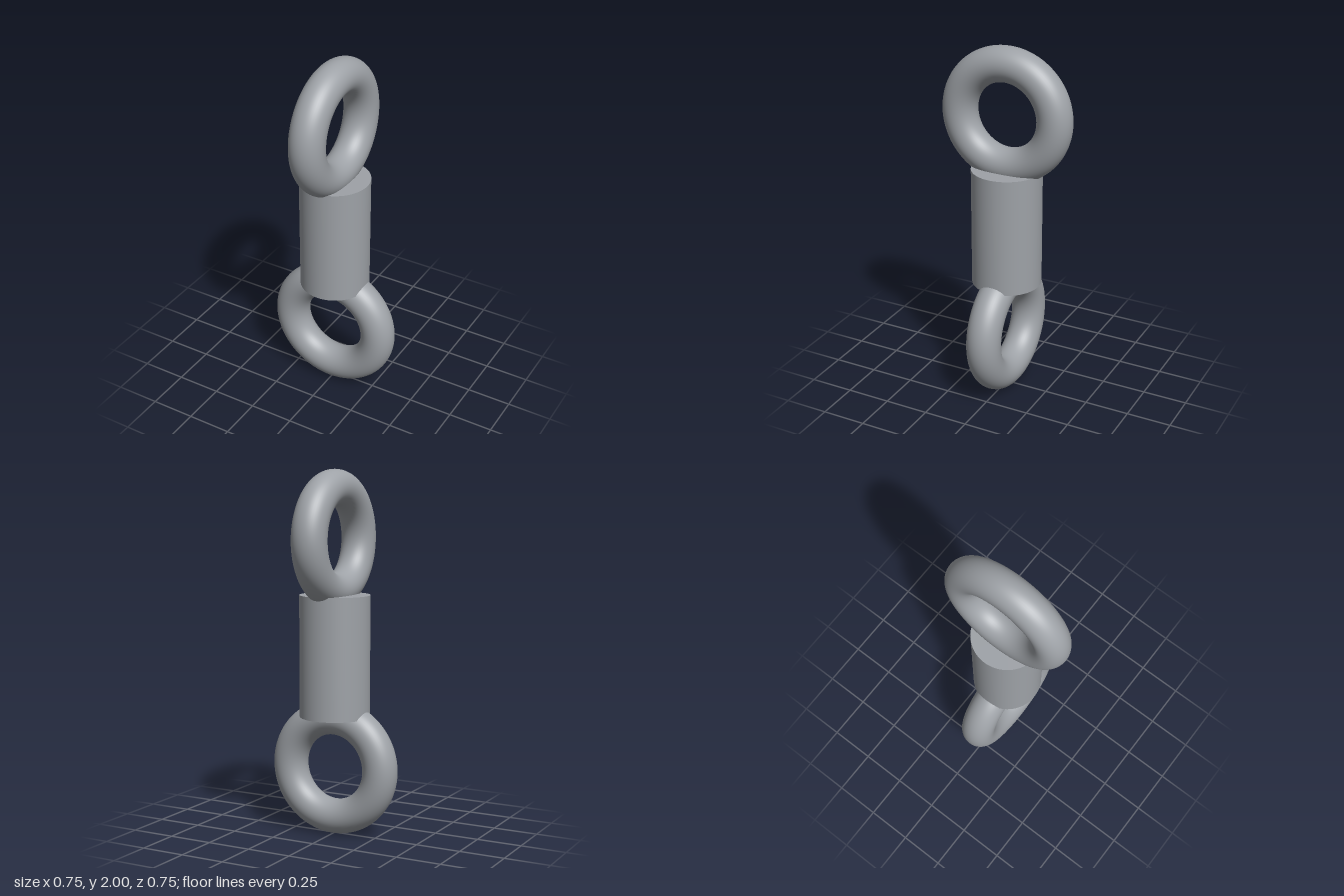
import * as THREE from 'three';

const RING_RADIUS = 0.278, TUBE_RADIUS = 0.096;
const RING_OUTER = RING_RADIUS + TUBE_RADIUS;

export function createModel() {
  const group = new THREE.Group();
  const steel = new THREE.MeshStandardMaterial({ color: 0x9ea2a7 });
  steel.name = 'steel grey';

  const add = (name, geometry, y) => {
    const mesh = new THREE.Mesh(geometry, steel);
    mesh.name = name;
    mesh.position.y = y;
    group.add(mesh);
    return mesh;
  };

  // Solid barrel joining the two eyes
  const bottom = 0.657, top = 1.325;
  add('barrel', new THREE.CylinderGeometry(0.193, 0.193, top - bottom, 96), (top + bottom) / 2);

  // Two eye rings, set at right angles to each other
  const ring = new THREE.TorusGeometry(RING_RADIUS, TUBE_RADIUS, 48, 128);
  add('lowerRing', ring, RING_OUTER);
  add('upperRing', ring, 2 - RING_OUTER).rotation.y = Math.PI / 2;

  return group;
}
